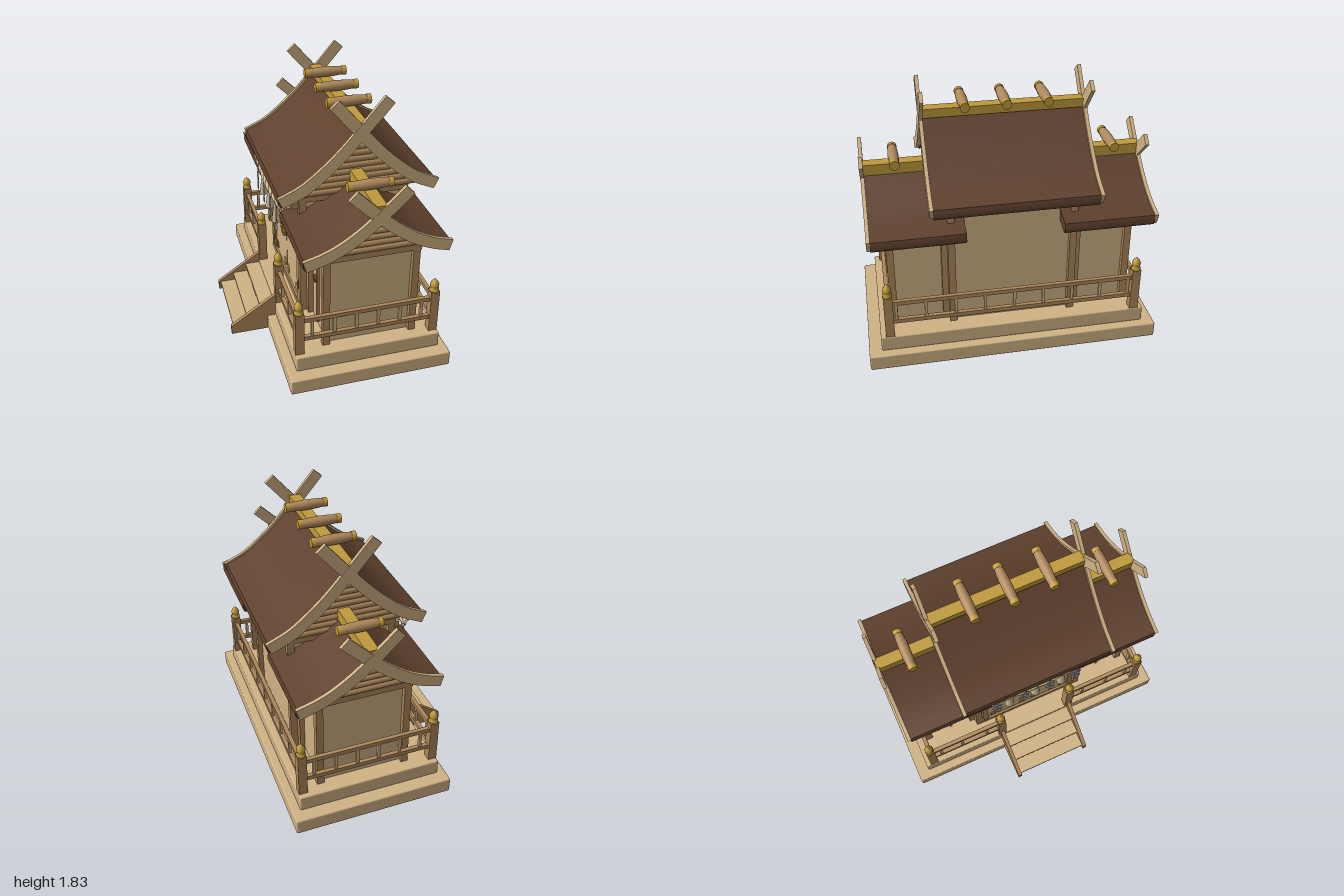
import * as THREE from 'three';
import { toCreasedNormals } from 'three/addons/utils/BufferGeometryUtils.js';
import { RoundedBoxGeometry } from 'three/addons/geometries/RoundedBoxGeometry.js';

const mat = (name, color, side = THREE.FrontSide) => {
  const m = new THREE.MeshStandardMaterial({ color, side });
  m.name = name;
  return m;
};

export function createModel() {
  const model = new THREE.Group();
  model.name = 'shrine';
  const tan = mat('pale timber', 0xd0b285), wood = mat('brown timber', 0xae885b);
  const bark = mat('bark roof', 0x5f402d), gold = mat('gold', 0xc09a3a);
  const straw = mat('straw rope', 0xc8b48c), paper = mat('paper', 0xb4bac2, THREE.DoubleSide);
  const CX = 0.15; // centre line of the building

  const add = (name, geo, m, x = 0, y = 0, z = 0) => {
    const mesh = new THREE.Mesh(geo, m);
    mesh.name = name;
    mesh.position.set(x, y, z);
    model.add(mesh);
    return mesh;
  };
  // Box given by its limits on each axis
  const box = (name, m, x0, x1, y0, y1, z0, z1) => add(name,
    new THREE.BoxGeometry(x1 - x0, y1 - y0, z1 - z0), m, (x0 + x1) / 2, (y0 + y1) / 2, (z0 + z1) / 2);
  const slab = (name, x0, x1, y0, y1, z) => add(name,
    new RoundedBoxGeometry(x1 - x0, y1 - y0, 2 * z, 2, 0.01), tan, (x0 + x1) / 2, (y0 + y1) / 2, 0);
  // Outline in x and y, pushed along z
  const extrude = (name, m, pts, z0, z1, x = CX) => {
    const g = new THREE.ExtrudeGeometry(new THREE.Shape(pts), { depth: z1 - z0, bevelEnabled: false });
    return add(name, toCreasedNormals(g, 0.5), m, x, 0, z0);
  };
  const V = (x, y) => new THREE.Vector2(x, y);

  // Stepped base
  slab('lowerBase', -0.43, 0.675, 0, 0.11, 1);
  slab('upperBase', -0.372, 0.62, 0.11, 0.222, 0.915);

  // Stairs on the entrance side
  for (let i = 0; i < 3; i++) {
    const x = -0.68 + i * 0.1, y = 0.065 + i * 0.065;
    box('stairRiser', wood, x + 0.012, -0.37, i ? y - 0.065 : 0, y - 0.018, -0.268, 0.268);
    box('stairTread', tan, x, x + 0.11, y - 0.018, y, -0.268, 0.268);
  }
  for (const s of [-1, 1])
    extrude('stairStringer', wood,
      [V(-0.695, 0), V(-0.365, 0), V(-0.365, 0.285), V(-0.695, 0.065)], s * 0.28 - 0.014, s * 0.28 + 0.014, 0);

  // Railings with gold finials
  const finial = new THREE.LatheGeometry([[0, 0], [0.032, 0], [0.032, 0.018], [0.02, 0.025], [0.029, 0.042],
    [0.03, 0.056], [0.022, 0.076], [0.008, 0.092], [0, 0.1]].map(p => V(...p)), 16);
  const railPost = (x, z) => {
    box('railPost', wood, x - 0.03, x + 0.03, 0.22, 0.54, z - 0.03, z + 0.03);
    add('finial', finial, gold, x, 0.532, z);
  };
  const RX0 = -0.34, RX1 = 0.585, RZ = 0.85;
  const rails = (x0, x1, z0, z1) => {
    for (const y of [0.33, 0.475]) box('rail', wood, x0, x1, y - 0.015, y + 0.015, z0, z1);
  };
  const baluster = (x, z) => box('baluster', tan, x - 0.01, x + 0.01, 0.34, 0.465, z - 0.01, z + 0.01);
  for (const s of [-1, 1]) {
    railPost(RX0, s * RZ);
    railPost(RX1, s * RZ);
    railPost(RX0, s * 0.28);
    rails(RX0, RX1, s * RZ - 0.014, s * RZ + 0.014);
    rails(RX0 - 0.014, RX0 + 0.014, Math.min(s * 0.28, s * RZ), Math.max(s * 0.28, s * RZ));
    for (let i = 0; i < 6; i++) baluster(-0.25 + i * 0.15, s * RZ);
    for (const z of [0.4, 0.6, 0.77]) baluster(RX0, s * z);
  }
  rails(RX1 - 0.014, RX1 + 0.014, -RZ, RZ);
  for (let i = -4; i <= 4; i++) baluster(RX1, i * 0.2);

  // Hall and two lower wings: walls, posts, beams
  box('hallWalls', tan, CX - 0.34, CX + 0.34, 0.22, 1.13, -0.4, 0.4);
  for (const u of [-1, 1]) for (const s of [-1, 1]) {
    const px = CX + u * 0.35, wx = CX + u * 0.3;
    box('hallPost', wood, px - 0.024, px + 0.024, 0.22, 1.1, s * 0.41 - 0.024, s * 0.41 + 0.024);
    for (const z of [0.45, 0.81])
      box('wingPost', wood, wx - 0.024, wx + 0.024, 0.22, 0.88, s * z - 0.024, s * z + 0.024);
    box('wingSideBeam', wood, wx - 0.028, wx + 0.028, 0.868, 0.91, s * 0.61 - 0.225, s * 0.61 + 0.225);
  }
  for (const u of [-1, 1])
    box('hallSideBeam', wood, CX + u * 0.35 - 0.028, CX + u * 0.35 + 0.028, 1.09, 1.135, -0.435, 0.435);
  for (const s of [-1, 1]) {
    box('wingWalls', tan, CX - 0.29, CX + 0.29, 0.22, 0.91, s * 0.6 - 0.2, s * 0.6 + 0.2);
    box('wingEndBeam', wood, CX - 0.33, CX + 0.33, 0.868, 0.91, s * 0.81 - 0.027, s * 0.81 + 0.027);
    box('hallEndBeam', wood, CX - 0.375, CX + 0.375, 1.09, 1.135, s * 0.41 - 0.027, s * 0.41 + 0.027);
  }

  // Curved roof lines: distance from the ridge and height
  const line = pts => new THREE.CatmullRomCurve3(pts.map(p => new THREE.Vector3(p[0], p[1], 0)), false, 'centripetal');
  const hallLine = [[0, 1.595], [0.12, 1.46], [0.25, 1.338], [0.38, 1.24], [0.525, 1.172]];
  const wingLine = [[0, 1.22], [0.12, 1.118], [0.25, 1.032], [0.36, 0.983], [0.473, 0.95]];

  const roofSlab = (pts, z0, z1) => {
    const half = line(pts).getPoints(20);
    const top = half.map(p => V(p.x, p.y + 0.03));
    const e = half[20];
    const lip = [V(e.x + 0.007, e.y + 0.005), V(e.x + 0.006, e.y - 0.022), V(e.x - 0.006, e.y - 0.042)];
    const low = half.slice(0, 20).reverse().map(p => V(p.x, p.y - 0.05));
    const right = [...top, ...lip, ...low];
    const left = right.slice(1, -1).reverse().map(p => V(-p.x, p.y));
    extrude('roof', bark, [...right, ...left], z0, z1);
  };
  // Crossed gable boards running on above the ridge
  const gableBoards = (pts, rise, z) => {
    const c = line([rise, ...pts]), a = [], b = [];
    for (let i = 0; i <= 28; i++) {
      const p = c.getPoint(i / 28), t = c.getTangent(i / 28);
      a.push(V(p.x - t.y * 0.039, p.y + t.x * 0.039));
      b.unshift(V(p.x + t.y * 0.039, p.y - t.x * 0.039));
    }
    const outline = [...a, ...b];
    extrude('gableBoard', tan, outline, z - 0.0125, z + 0.0125);
    extrude('gableBoard', tan, outline.map(p => V(-p.x, p.y)), z - 0.0105, z + 0.0145);
  };
  // Stacked round logs closing the gable, with a solid attic behind
  const gable = (pts, y0, z, inner, s) => {
    const half = line(pts).getPoints(40);
    const widthAt = y => half.reduce((w, p) => (p.y - 0.045 > y ? p.x : w), 0);
    for (let y = y0; widthAt(y + 0.02) > 0.02; y += 0.043) {
      const w = Math.min(widthAt(y + 0.01), pts[4][0] - 0.07);
      const g = new THREE.CylinderGeometry(0.024, 0.024, 2 * w, 12).rotateZ(Math.PI / 2);
      add('gableLog', g, wood, CX, y, s * z);
    }
    const under = half.filter(p => p.y - 0.05 > y0 - 0.02 && p.x < pts[4][0] - 0.13).map(p => V(p.x, p.y - 0.05));
    const w = under[under.length - 1].x;
    const shape = [...under, V(w, y0 - 0.03), V(-w, y0 - 0.03), ...under.slice(1).reverse().map(p => V(-p.x, p.y))];
    extrude('attic', wood, shape, Math.min(s * inner, s * z), Math.max(s * inner, s * z));
  };
  // Ridge log with gold ends
  const ridgeLog = (y, z) => {
    const body = new THREE.LatheGeometry([[0.029, -0.12], [0.034, -0.06], [0.036, 0], [0.034, 0.06], [0.029, 0.12]]
      .map(p => V(...p)), 16).rotateZ(Math.PI / 2);
    add('ridgeLog', body, wood, CX, y, z);
    for (const u of [-1, 1])
      add('ridgeLogCap', new THREE.CylinderGeometry(0.032, 0.032, 0.03, 16).rotateZ(Math.PI / 2), gold, CX + u * 0.133, y, z);
  };

  roofSlab(hallLine, -0.53, 0.53);
  box('hallRidge', gold, CX - 0.04, CX + 0.04, 1.6, 1.66, -0.55, 0.55);
  for (const z of [-0.27, 0, 0.27]) ridgeLog(1.697, z);
  for (const s of [-1, 1]) {
    gableBoards(hallLine, [-0.177, 1.8], s * 0.542);
    gable(hallLine, 1.155, 0.435, 0, s);
    roofSlab(wingLine, s > 0 ? 0.32 : -0.93, s > 0 ? 0.93 : -0.32);
    gableBoards(wingLine, [-0.177, 1.39], s * 0.94);
    gable(wingLine, 0.935, 0.83, 0.4, s);
    box('wingRidge', gold, CX - 0.04, CX + 0.04, 1.225, 1.3, s * 0.69 - 0.255, s * 0.69 + 0.255);
    ridgeLog(1.335, s * 0.73);
  }

  // Entrance doors, frames and gold fittings
  const emblem = (x, y, z, r) => {
    const disc = (name, m, rad, d) => add(name, new THREE.CylinderGeometry(rad, rad, d, 24).rotateZ(Math.PI / 2), m, x, y, z);
    disc('emblemDisc', bark, r, 0.016);
    add('emblemRing', new THREE.TorusGeometry(r * 0.9, r * 0.12, 6, 24).rotateY(Math.PI / 2), gold, x - 0.008, y, z);
    for (let i = 0; i < 8; i++) {
      const a = i * Math.PI / 4;
      add('emblemPetal', new THREE.SphereGeometry(r * 0.18, 8, 6), gold, x - 0.008, y + Math.sin(a) * r * 0.5, z + Math.cos(a) * r * 0.5);
    }
    disc('emblemCentre', gold, r * 0.22, 0.026);
  };
  box('doorLintel', wood, -0.225, -0.19, 0.8, 0.85, -0.385, 0.385);
  box('doorSill', wood, -0.225, -0.19, 0.222, 0.26, -0.385, 0.385);
  for (const s of [-1, 1]) {
    box('doorLeaf', tan, -0.21, -0.19, 0.26, 0.8, s * 0.17 - 0.165, s * 0.17 + 0.165);
    box('doorJamb', wood, -0.222, -0.19, 0.26, 0.8, s * 0.355 - 0.02, s * 0.355 + 0.02);
    for (const y of [0.32, 0.74]) for (const z of [0.05, 0.29])
      box('doorPlate', gold, -0.215, -0.209, y - 0.025, y + 0.025, s * z - 0.022, s * z + 0.022);
    box('wingDoorFrame', wood, -0.16, -0.138, 0.26, 0.83, s * 0.625 - 0.012, s * 0.625 + 0.012);
    box('wingLintelTrim', gold, -0.184, -0.177, 0.868, 0.886, s * 0.63 - 0.17, s * 0.63 + 0.17);
    emblem(-0.168, 0.62, s * 0.625, 0.028);
  }
  emblem(-0.228, 0.65, 0, 0.065);

  // Twisted straw rope with tassels and folded paper strips
  box('ropeBeam', wood, -0.27, -0.2, 1.03, 1.07, -0.4, 0.4);
  const ropeY = z => 1.02 + 0.22 * z * z;
  for (let k = 0; k < 3; k++) {
    const pts = [];
    for (let i = 0; i <= 60; i++) {
      const z = -0.42 + 0.84 * i / 60, a = z * 24 + k * Math.PI * 2 / 3;
      const r = 0.02 * (1 - 0.6 * Math.abs(z) / 0.42);
      pts.push(new THREE.Vector3(-0.325 + Math.cos(a) * r, ropeY(z) + Math.sin(a) * r, z));
    }
    add('ropeStrand', new THREE.TubeGeometry(new THREE.CatmullRomCurve3(pts), 120, 0.019, 8), straw);
  }
  for (const z of [-0.2, 0, 0.2])
    add('tassel', new THREE.CylinderGeometry(0.012, 0.034, 0.16, 10), straw, -0.325, 0.92, z);
  for (const z of [-0.3, -0.1, 0.1, 0.3]) for (let i = 0; i < 4; i++) {
    const strip = add('paperStrip', new THREE.BoxGeometry(0.004, 0.055, 0.035), paper,
      -0.345 - (i % 2) * 0.006, 0.985 - i * 0.043, z + (i % 2 ? 0.012 : -0.012));
    strip.rotation.x = i % 2 ? 0.3 : -0.3;
  }
  return model;
}
